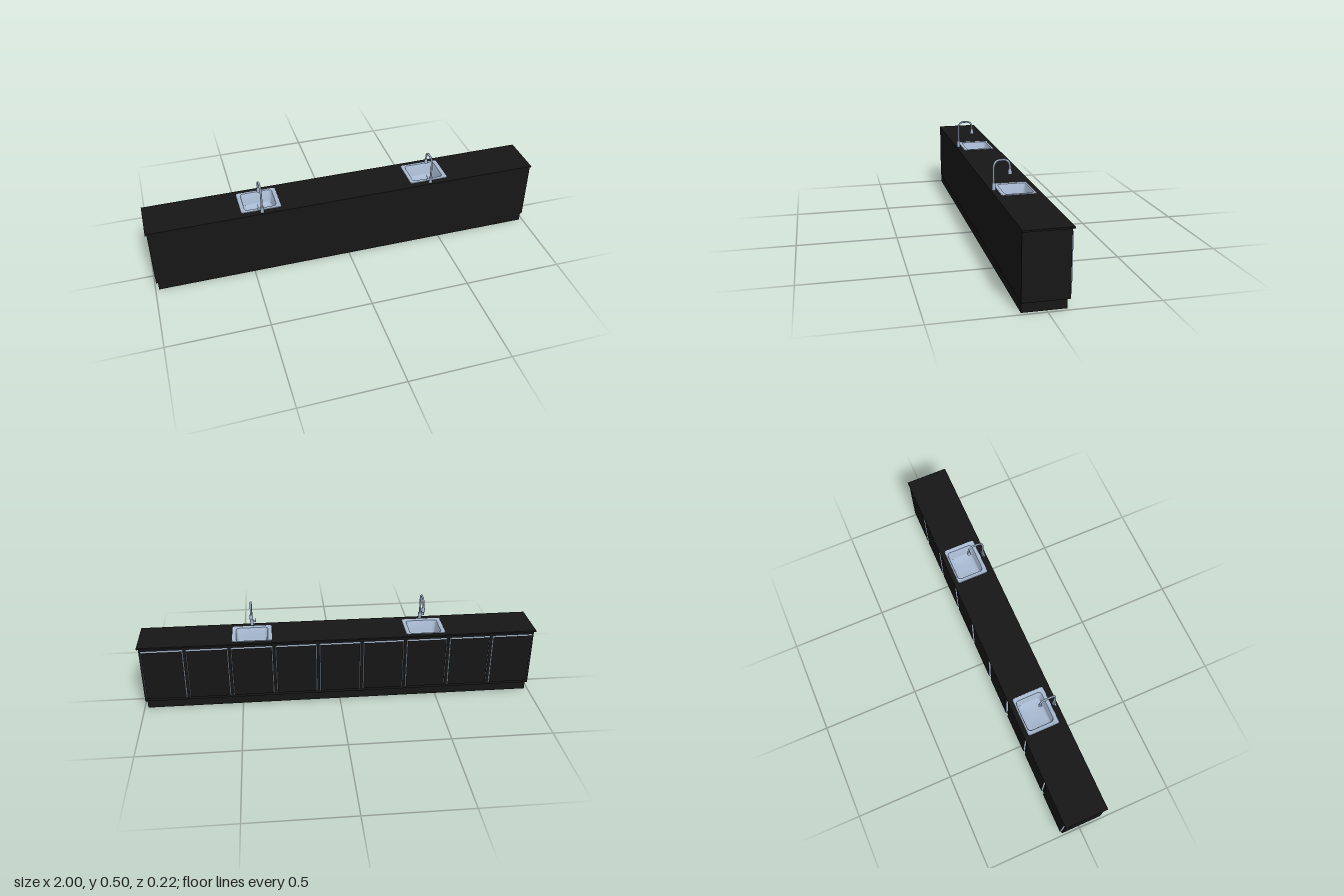
import * as THREE from 'three';
import { toCreasedNormals } from 'three/addons/utils/BufferGeometryUtils.js';

const black = new THREE.MeshStandardMaterial({ color: 0x161616 });
const steel = new THREE.MeshStandardMaterial({ color: 0xa8bad2 });
const steelSheet = new THREE.MeshStandardMaterial({ color: 0xa8bad2, side: THREE.DoubleSide });

const SINK_X = 0.437, SINK_Z = -0.003, TOP = 0.356;

function add(parent, name, geometry, material, x = 0, y = 0, z = 0) {
  const mesh = new THREE.Mesh(geometry, material);
  mesh.name = name;
  mesh.position.set(x, y, z);
  parent.add(mesh);
  return mesh;
}

// Box given by its minimum and maximum corners
function addBox(parent, name, [x0, y0, z0], [x1, y1, z1]) {
  return add(parent, name, new THREE.BoxGeometry(x1 - x0, y1 - y0, z1 - z0), black,
    (x0 + x1) / 2, (y0 + y1) / 2, (z0 + z1) / 2);
}

// Outline of a rounded rectangle given by half sizes and corner radius
function roundedRect(w, d, r, steps = 6) {
  const points = [];
  for (let corner = 0; corner < 4; corner++) {
    const sx = corner === 0 || corner === 3 ? 1 : -1, sz = corner < 2 ? 1 : -1;
    for (let i = 0; i <= steps; i++) {
      const a = (corner + i / steps) * Math.PI / 2;
      points.push(new THREE.Vector2(sx * (w - r) + r * Math.cos(a), sz * (d - r) + r * Math.sin(a)));
    }
  }
  return points;
}

// Pressed sink: rounded rectangles joined from the outer lip down to the drain
function sinkGeometry() {
  const sections = [ // half width, half depth, corner radius, y, z offset
    [0.1, 0.082, 0.01, 0, 0],
    [0.099, 0.081, 0.01, 0.0018, 0],
    [0.093, 0.076, 0.01, 0.0018, 0],
    [0.091, 0.074, 0.01, 0.0005, 0],
    [0.08, 0.068, 0.016, 0.0005, -0.005],
    [0.078, 0.066, 0.016, -0.003, -0.005],
    [0.074, 0.062, 0.016, -0.06, -0.005],
    [0.071, 0.059, 0.016, -0.068, -0.005],
    [0.064, 0.052, 0.016, -0.072, -0.005],
    [0.012, 0.012, 0.012, -0.074, -0.005],
    [0.0005, 0.0005, 0.0004, -0.074, -0.005]
  ];
  const positions = [], index = [];
  let n = 0;
  sections.forEach(([w, d, r, y, z]) => {
    const ring = roundedRect(w, d, r);
    n = ring.length;
    ring.forEach(p => positions.push(p.x, y, p.y + z));
  });
  for (let i = 0; i < sections.length - 1; i++) {
    for (let j = 0; j < n; j++) {
      const a = i * n + j, b = i * n + (j + 1) % n;
      index.push(a, a + n, b, b, a + n, b + n);
    }
  }
  const geometry = new THREE.BufferGeometry();
  geometry.setAttribute('position', new THREE.Float32BufferAttribute(positions, 3));
  geometry.setIndex(index);
  return toCreasedNormals(geometry, 0.7);
}

// Door panel whose edges slope inwards to the outer (-z) face
function doorGeometry(width, height, depth, slope) {
  const geometry = new THREE.BoxGeometry(width, height, depth);
  const p = geometry.attributes.position;
  for (let i = 0; i < p.count; i++) {
    if (p.getZ(i) > 0) continue;
    p.setX(i, p.getX(i) - Math.sign(p.getX(i)) * slope);
    p.setY(i, p.getY(i) - Math.sign(p.getY(i)) * slope);
  }
  geometry.computeVertexNormals();
  return geometry;
}

function createTap() {
  const tap = new THREE.Group();
  tap.name = 'tap';
  add(tap, 'tapBase', new THREE.CylinderGeometry(0.0085, 0.0085, 0.032, 24), steel, 0, 0.016, 0);

  // Gooseneck in the yz plane
  const v = (y, z) => new THREE.Vector3(0, y, z);
  const neck = new THREE.CurvePath();
  neck.add(new THREE.LineCurve3(v(0.03, 0), v(0.102, 0)));
  neck.add(new THREE.CubicBezierCurve3(v(0.102, 0), v(0.124, 0), v(0.139, -0.01), v(0.139, -0.03)));
  neck.add(new THREE.LineCurve3(v(0.139, -0.03), v(0.139, -0.046)));
  neck.add(new THREE.CubicBezierCurve3(v(0.139, -0.046), v(0.139, -0.066), v(0.124, -0.076), v(0.102, -0.076)));
  neck.add(new THREE.LineCurve3(v(0.102, -0.076), v(0.09, -0.076)));
  add(tap, 'neck', new THREE.TubeGeometry(neck, 64, 0.0048, 14), steel);

  // Spray head
  const profile = [[0, 0], [0.0085, 0], [0.0095, 0.002], [0.0075, 0.023], [0.0065, 0.026], [0, 0.026]]
    .map(([x, y]) => new THREE.Vector2(x, y));
  add(tap, 'sprayHead', toCreasedNormals(new THREE.LatheGeometry(profile, 24), 0.6), steel, 0, 0.07, -0.076);

  // Side valve and lever
  add(tap, 'valve', new THREE.CylinderGeometry(0.006, 0.006, 0.016, 18), steel, -0.013, 0.021, 0)
    .rotation.z = Math.PI / 2;
  add(tap, 'lever', new THREE.CylinderGeometry(0.0014, 0.0018, 0.026, 10), steel, -0.018, 0.032, -0.005)
    .rotation.x = -0.45;
  return tap;
}

export function createModel() {
  const model = new THREE.Group();
  model.name = 'sinkCounter';

  // Worktop with an opening for each sink
  const shape = new THREE.Shape([[-1, -0.108], [1, -0.108], [1, 0.11], [-1, 0.11]]
    .map(([x, y]) => new THREE.Vector2(x, y)));
  for (const side of [-1, 1]) {
    const opening = roundedRect(0.09, 0.074, 0.01)
      .map(p => new THREE.Vector2(p.x + side * SINK_X, p.y + SINK_Z));
    shape.holes.push(new THREE.Path(opening));
  }
  const worktop = new THREE.ExtrudeGeometry(shape, { depth: 0.008, bevelEnabled: false });
  worktop.rotateX(Math.PI / 2);
  add(model, 'worktop', worktop, black, 0, TOP, 0);

  // Carcass panels and recessed plinth
  addBox(model, 'frontPanel', [-0.992, 0.045, 0.1], [0.992, 0.348, 0.11]);
  addBox(model, 'backPanel', [-0.992, 0.045, -0.098], [0.992, 0.348, -0.092]);
  addBox(model, 'leftPanel', [0.982, 0.045, -0.092], [0.992, 0.348, 0.1]);
  addBox(model, 'rightPanel', [-0.992, 0.045, -0.092], [-0.982, 0.348, 0.1]);
  addBox(model, 'bottomPanel', [-0.982, 0.045, -0.092], [0.982, 0.055, 0.1]);
  addBox(model, 'plinth', [-0.983, 0, -0.088], [0.983, 0.045, 0.108]);

  // Row of doors: steel edges, black outer face
  const door = doorGeometry(0.206, 0.274, 0.008, 0.004);
  const doorMaterials = [steel, steel, steel, steel, steel, black];
  for (let i = 0; i < 9; i++) {
    add(model, 'door', door, doorMaterials, (i - 4) * 0.2204, 0.195, -0.102);
  }

  // Two sinks, each with a tap
  const bowl = sinkGeometry();
  for (const side of [-1, 1]) {
    add(model, 'sink', bowl, steelSheet, side * SINK_X, TOP + 0.0002, SINK_Z);
    const tap = createTap();
    tap.position.set(side * SINK_X, TOP, 0.094);
    model.add(tap);
  }
  return model;
}
